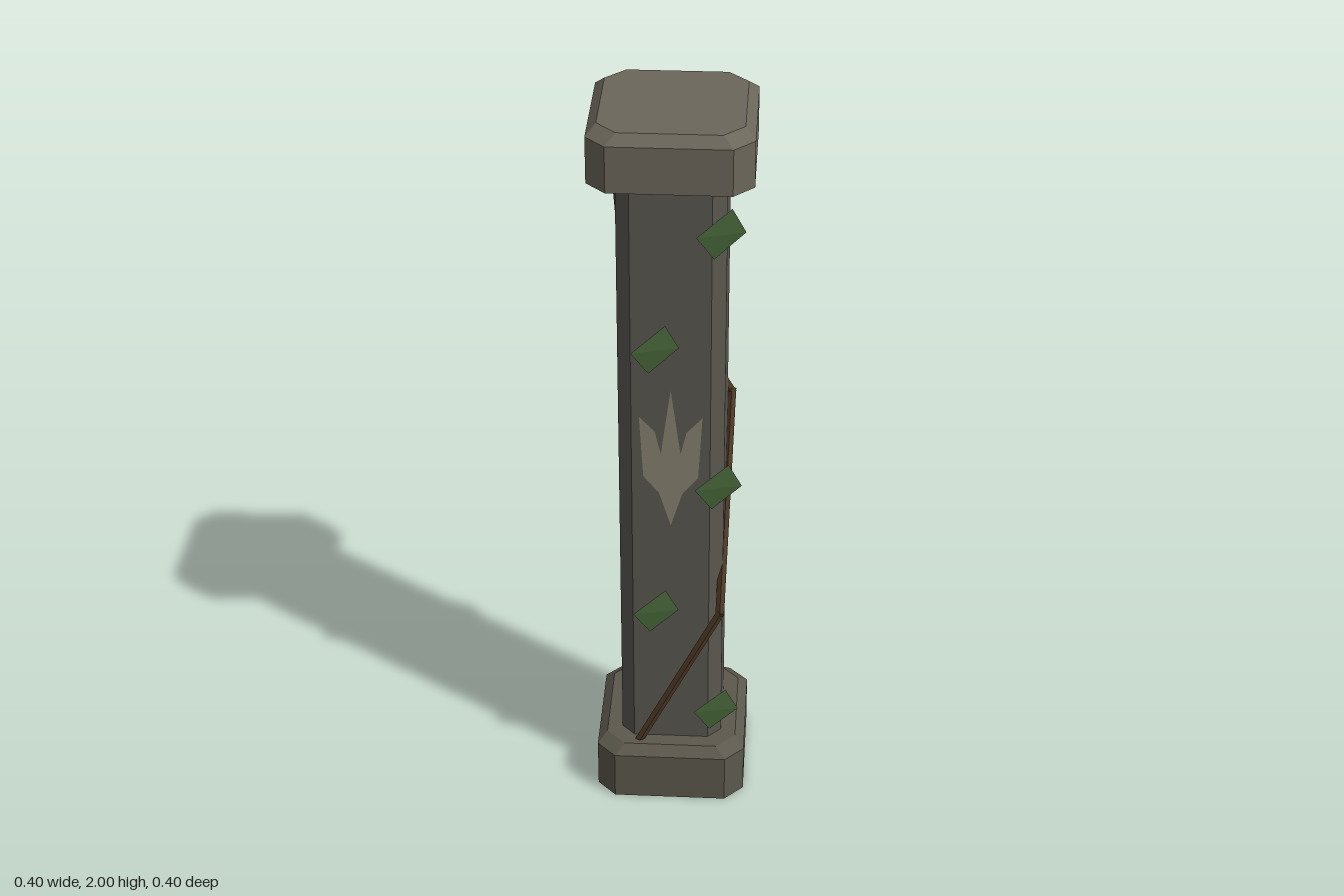
import * as THREE from 'three';

const mat = (color, side = THREE.FrontSide) => new THREE.MeshStandardMaterial({ color, side, flatShading: true });

// Square outline with cut corners, counter-clockwise seen from above
function ring([half, flat, y]) {
  const out = [];
  for (let i = 0; i < 4; i++) {
    const c = Math.round(Math.cos(i * Math.PI / 2)), s = Math.round(Math.sin(i * Math.PI / 2));
    for (const v of [-flat, flat]) out.push([half * c - v * s, y, -(half * s + v * c)]);
  }
  return out;
}

function fromTriangles(tris) {
  const g = new THREE.BufferGeometry();
  g.setAttribute('position', new THREE.Float32BufferAttribute(tris.flat(2), 3));
  g.computeVertexNormals();
  return g;
}

// Stacked cut-corner sections, closed on top and optionally below
function block(sections, closedBelow) {
  const rings = sections.map(ring), tris = [];
  for (let k = 0; k < rings.length - 1; k++) {
    for (let i = 0; i < 8; i++) {
      const j = (i + 1) % 8, lo = rings[k], up = rings[k + 1];
      tris.push([lo[i], lo[j], up[j]], [lo[i], up[j], up[i]]);
    }
  }
  const top = rings[rings.length - 1], low = rings[0];
  for (let i = 1; i < 7; i++) {
    tris.push([top[0], top[i], top[i + 1]]);
    if (closedBelow) tris.push([low[0], low[i + 1], low[i]]);
  }
  return fromTriangles(tris);
}

export function createModel() {
  const group = new THREE.Group();
  const add = (name, geometry, material, parent = group) => {
    const m = new THREE.Mesh(geometry, material);
    m.name = name;
    parent.add(m);
    return m;
  };

  // Stone plinth, shaft and capital; plinth and capital are hollow underneath
  add('base', block([[0.2, 0.15, 0], [0.2, 0.15, 0.14], [0.175, 0.125, 0.165]], false),
    mat(0x5c584d, THREE.DoubleSide));
  add('shaft', block([[0.115, 0.085, 0.145], [0.135, 0.1, 0.165], [0.135, 0.1, 1.835], [0.115, 0.085, 1.855]], true),
    mat(0x5a5750));
  add('capital', block([[0.2, 0.15, 1.855], [0.2, 0.15, 1.975], [0.175, 0.125, 2]], false),
    mat(0x6b665a, THREE.DoubleSide));

  // Three-pronged ornament on the front
  const half = [[0, 1.28], [0.025, 1.09], [0.04, 1.155], [0.08, 1.2], [0.07, 1.02], [0.03, 0.97], [0, 0.87]];
  const outline = [...half, ...half.slice(1, -1).reverse().map(([x, y]) => [-x, y])];
  const ornament = new THREE.Shape(outline.map(([x, y]) => new THREE.Vector2(x, y)));
  add('ornament', new THREE.ShapeGeometry(ornament), mat(0x857f6e, THREE.DoubleSide)).position.z = 0.138;

  // Vine winding around the shaft in straight runs
  const vine = new THREE.Group();
  vine.name = 'vine';
  group.add(vine);
  const path = [[-0.15, 0.03, 0.15], [0.13, 0.6, 0.15], [0.145, 1.13, -0.113], [-0.142, 1.6, -0.142], [-0.142, 1.95, 0.06]]
    .map(p => new THREE.Vector3(...p));
  const bark = mat(0x4d3825);
  for (let i = 0; i < path.length - 1; i++) {
    const dir = path[i + 1].clone().sub(path[i]);
    const run = add('vineRun', new THREE.CylinderGeometry(0.012, 0.012, dir.length() + 0.012, 5), bark, vine);
    run.position.copy(path[i]).addScaledVector(dir, 0.5);
    run.quaternion.setFromUnitVectors(new THREE.Vector3(0, 1, 0), dir.normalize());
  }

  // Folded leaves alternating up the front
  const l = [-0.057, -0.01, 0], t = [0.028, 0.069, -0.004], r = [0.062, 0.01, 0], b = [-0.014, -0.068, -0.004];
  const leafGeometry = fromTriangles([[l, r, t], [l, b, r]]);
  const green = mat(0x4a6b3c, THREE.DoubleSide);
  [0.285, 0.61, 1.01, 1.41, 1.735].forEach((y, i) => {
    add('leaf', leafGeometry, green).position.set(i % 2 ? -0.04 : 0.12, y, 0.167);
  });

  return group;
}
